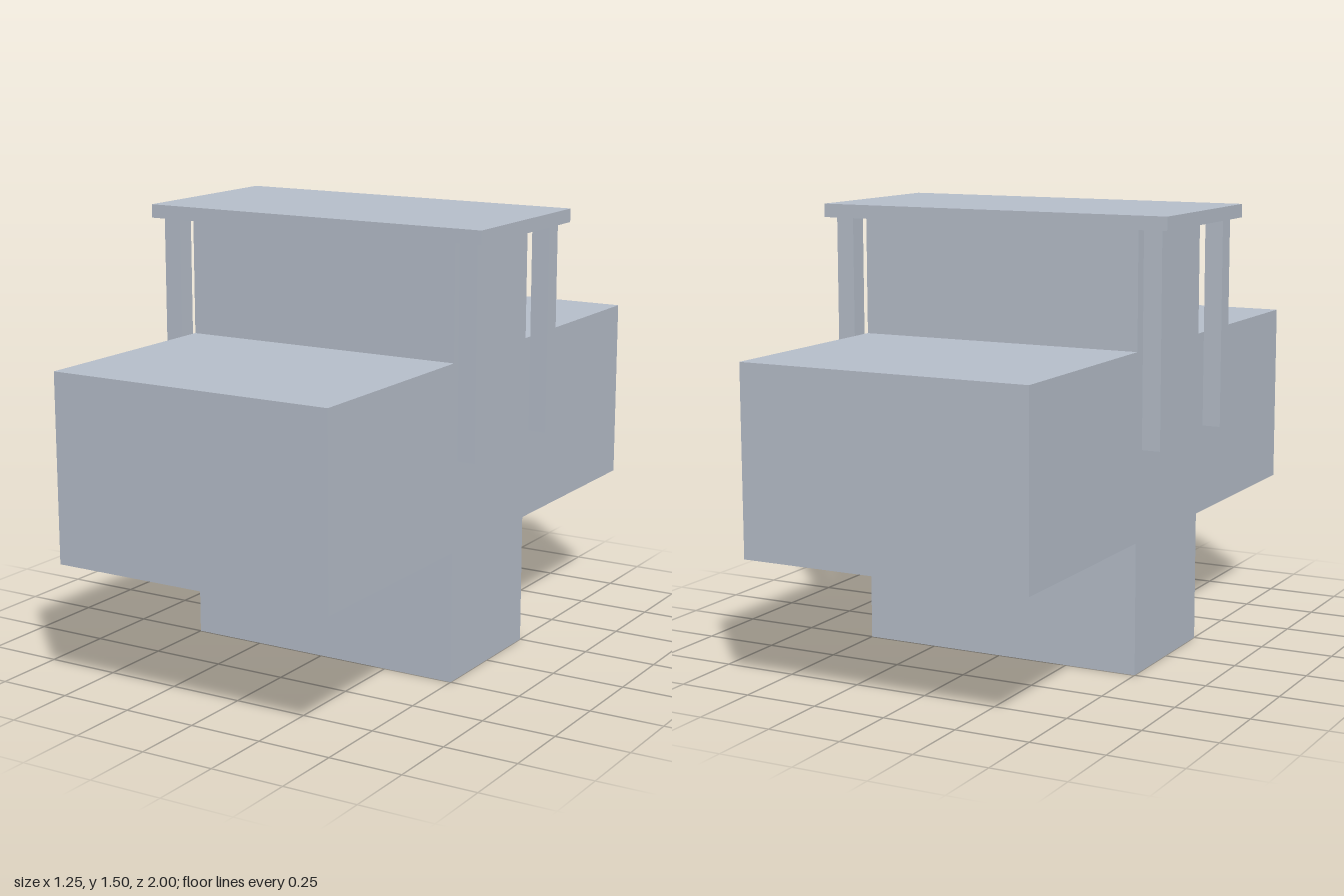
import * as THREE from 'three';

export function createModel() {
  const model = new THREE.Group();
  model.name = 'canopiedCrossBlock';
  const grey = new THREE.MeshStandardMaterial({ color: 0xb8c0cc });
  grey.name = 'blue grey';

  const add = (name, geometry, x, y, z) => {
    const mesh = new THREE.Mesh(geometry, grey);
    mesh.name = name;
    mesh.position.set(x, y, z);
    model.add(mesh);
  };

  const ROOF_BOTTOM = 1.455, TOP = 1.5, POST_BOTTOM = 0.755;
  const ARM_BOTTOM = 0.44, ARM_TOP = 1.063;

  // Cross-shaped body: profile in z and y, extruded across x
  const half = [[0.25, 0], [0.25, ARM_BOTTOM], [1, ARM_BOTTOM], [1, ARM_TOP], [0.25, ARM_TOP], [0.25, ROOF_BOTTOM]];
  const mirrored = half.map(([z, y]) => [-z, y]).reverse();
  const profile = new THREE.Shape([...half, ...mirrored].map(([z, y]) => new THREE.Vector2(z, y)));
  const body = new THREE.ExtrudeGeometry(profile, { depth: 1, bevelEnabled: false });
  body.translate(0, 0, -0.5).rotateY(Math.PI / 2);
  add('body', body, 0, 0, 0);

  // Flat roof slab
  add('roof', new THREE.BoxGeometry(1.25, TOP - ROOF_BOTTOM, 0.625), 0, (TOP + ROOF_BOTTOM) / 2, 0);

  // Four posts hanging from the roof corners, clear of the body
  const post = new THREE.BoxGeometry(0.0625, ROOF_BOTTOM - POST_BOTTOM, 0.0625);
  for (const [sideX, x] of [['left', 0.564], ['right', -0.564]]) {
    for (const [sideZ, z] of [['Front', 0.25], ['Back', -0.25]]) {
      add(`${sideX}${sideZ}Post`, post, x, (ROOF_BOTTOM + POST_BOTTOM) / 2, z);
    }
  }
  return model;
}
